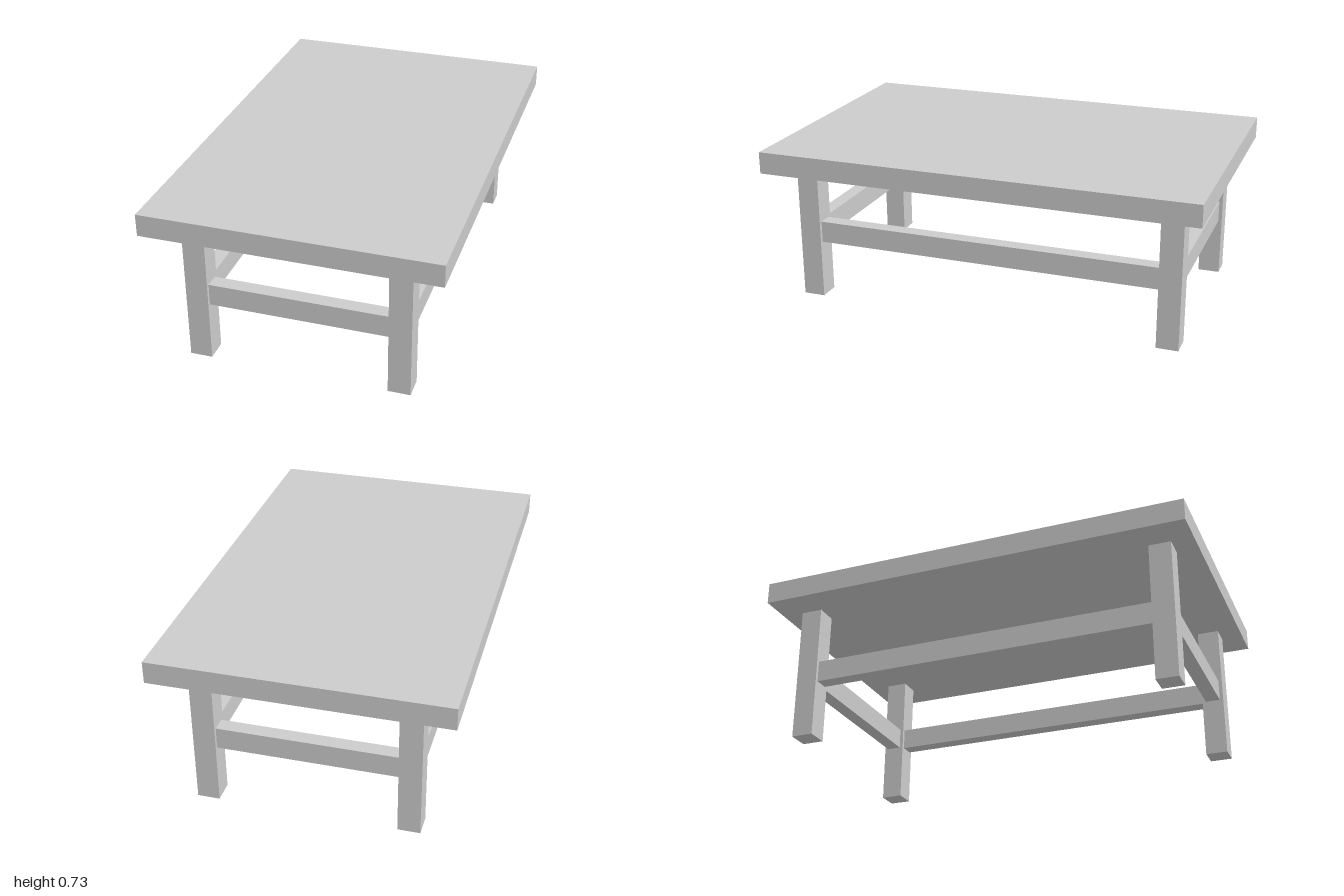
import * as THREE from 'three';

export function createModel() {
  const model = new THREE.Group();
  model.name = 'table';
  const material = new THREE.MeshStandardMaterial({ color: 0xcccccc, flatShading: true });

  // Box beam given its size and centre
  const beam = (name, [w, h, d], [x, y, z]) => {
    const mesh = new THREE.Mesh(new THREE.BoxGeometry(w, h, d), material);
    mesh.name = name;
    mesh.position.set(x, y, z);
    model.add(mesh);
  };

  const legX = 0.45, legZ = 0.85, leg = 0.1, legHeight = 0.633;
  const railHeight = 0.1, railThickness = 0.067, railY = 0.317;

  beam('tableTop', [1.3, 0.1, 2], [0, legHeight + 0.05, 0]);

  // Legs at the four corners
  for (const [sideX, sx] of [['Left', 1], ['Right', -1]]) {
    for (const [sideZ, sz] of [['front', 1], ['back', -1]]) {
      beam(`${sideZ}${sideX}Leg`, [leg, legHeight, leg], [sx * legX, legHeight / 2, sz * legZ]);
    }
  }

  // Stretcher rails between the inner faces of the legs
  for (const [name, s] of [['left', 1], ['right', -1]]) {
    beam(`${name}Rail`, [railThickness, railHeight, 2 * legZ - leg], [s * legX, railY, 0]);
  }
  for (const [name, s] of [['front', 1], ['back', -1]]) {
    beam(`${name}Rail`, [2 * legX - leg, railHeight, railThickness], [0, railY, s * legZ]);
  }

  return model;
}
